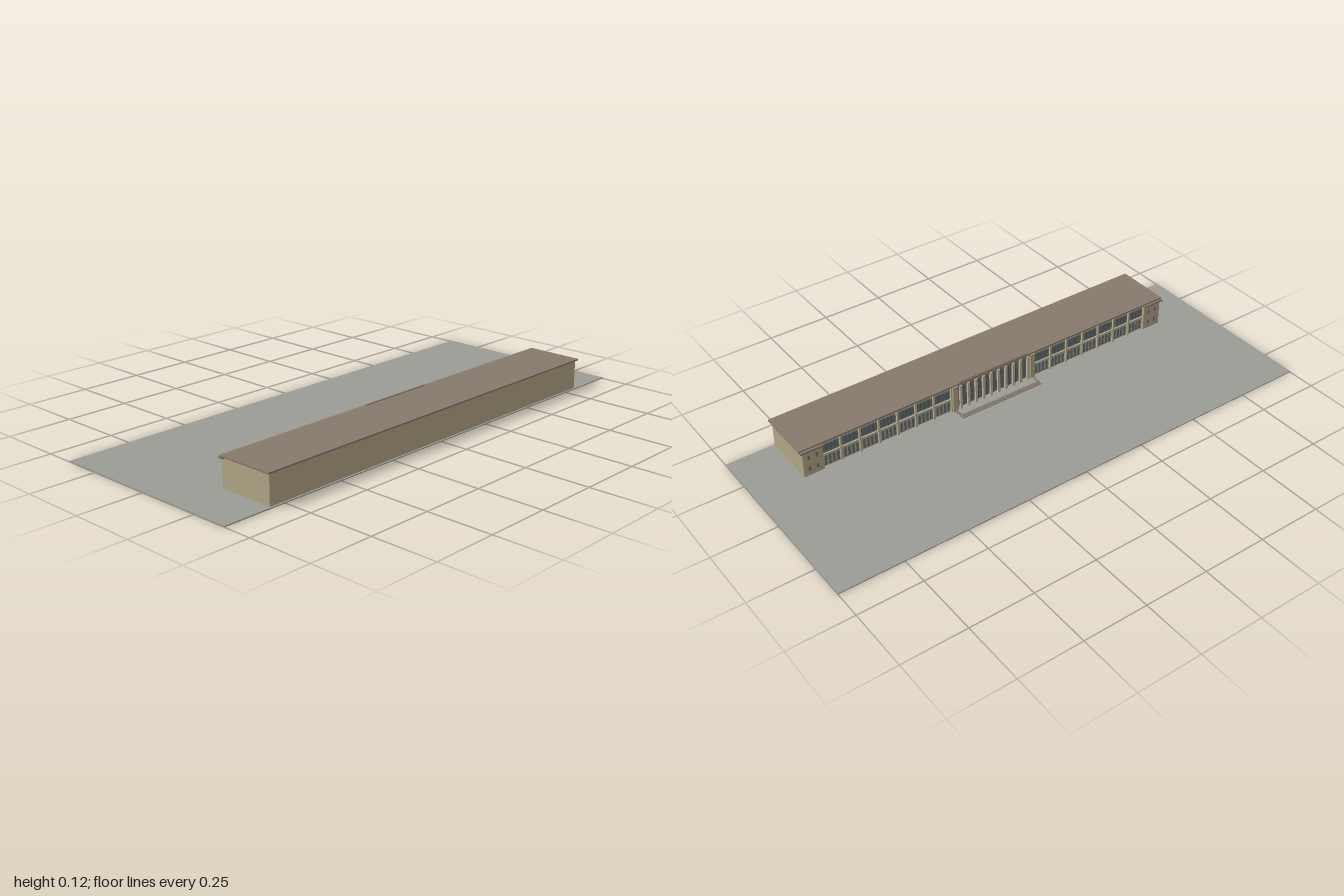
import * as THREE from 'three';

const flat = (name, color) => Object.assign(new THREE.MeshStandardMaterial({ color }), { name });

export function createModel() {
  const wall = flat('tan wall', 0xb0a484);
  const roof = flat('brown roof', 0x857a6c);
  const paving = flat('grey paving', 0x9c9c96);
  const glass = flat('blue grey glass', 0x68747c);
  const frame = flat('dark frame', 0x4c4a46);
  const stone = flat('pale stone', 0xbcb193);

  const model = new THREE.Group();
  model.name = 'longBuilding';
  // Box given by its lower and upper limits on each axis
  const box = (name, mat, x0, x1, y0, y1, z0, z1, parent = model) => {
    const mesh = new THREE.Mesh(new THREE.BoxGeometry(x1 - x0, y1 - y0, z1 - z0), mat);
    mesh.position.set((x0 + x1) / 2, (y0 + y1) / 2, (z0 + z1) / 2);
    mesh.name = name;
    parent.add(mesh);
    return mesh;
  };

  // Ground, main block and roof
  box('ground', paving, -1, 1, 0, 0.004, -0.39, 0.39);
  box('mainBlock', wall, -0.81, 0.81, 0.004, 0.115, 0.176, 0.383);
  box('roofSlab', roof, -0.82, 0.82, 0.115, 0.121, 0.167, 0.39);
  box('porticoParapet', roof, -0.155, 0.155, 0.12, 0.124, 0.17, 0.177);

  // Two wings, mirrored by turning the sign of x
  for (const s of [-1, 1]) {
    const wing = new THREE.Group();
    wing.name = s > 0 ? 'leftWing' : 'rightWing';
    model.add(wing);
    const part = (name, mat, a, b, y0, y1, z0, z1) =>
      box(name, mat, Math.min(s * a, s * b), Math.max(s * a, s * b), y0, y1, z0, z1, wing);

    // End pavilion with its cap and small windows
    part('endPavilion', wall, 0.73, 0.81, 0.004, 0.108, 0.165, 0.177);
    part('pavilionCap', roof, 0.727, 0.819, 0.108, 0.115, 0.158, 0.177);
    for (const y of [0.024, 0.072])
      for (const x of [0.75, 0.782])
        part('pavilionWindow', glass, x, x + 0.009, y, y + 0.018, 0.164, 0.166);

    // Bays of windows between pilasters
    const first = 0.185, bays = 7, width = (0.73 - first) / bays;
    for (let i = 0; i < bays; i++) {
      const x = first + i * width;
      part('pilaster', stone, x, x + 0.007, 0.004, 0.115, 0.169, 0.177);
      part('upperGlass', glass, x + 0.01, x + width - 0.003, 0.066, 0.102, 0.174, 0.177);
      for (let j = 1; j < 4; j++) {
        const m = x + 0.01 + j * (width - 0.013) / 4;
        part('upperMullion', frame, m - 0.0008, m + 0.0008, 0.066, 0.102, 0.1725, 0.175);
      }
      part('upperTransom', frame, x + 0.01, x + width - 0.003, 0.09, 0.0915, 0.1725, 0.175);
      for (let j = 0; j < 4; j++) {
        const a = x + 0.011 + j * 0.0165;
        part('lowerWindow', glass, a, a + 0.01, 0.014, 0.05, 0.174, 0.177);
        part('lowerSill', frame, a, a + 0.01, 0.012, 0.014, 0.172, 0.177);
        part('lowerTransom', frame, a, a + 0.01, 0.038, 0.0395, 0.1725, 0.175);
      }
    }
    part('floorBand', stone, first, 0.73, 0.056, 0.062, 0.171, 0.177);
    part('porticoPier', wall, 0.165, 0.187, 0.004, 0.115, 0.162, 0.177);
    part('stepCheek', roof, 0.172, 0.18, 0.004, 0.01, 0.13, 0.162);
  }

  // Portico: glazed back wall, lintel and a row of square columns
  box('porticoGlass', glass, -0.165, 0.165, 0.01, 0.106, 0.174, 0.177);
  box('porticoLintel', roof, -0.165, 0.165, 0.107, 0.115, 0.165, 0.177);
  for (const y of [0.034, 0.06, 0.085])
    box('porticoTransom', frame, -0.165, 0.165, y, y + 0.002, 0.1725, 0.175);
  for (let i = 0; i < 10; i++) {
    const x = -0.153 + i * 0.034;
    box('column', stone, x - 0.005, x + 0.005, 0.01, 0.113, 0.159, 0.168);
    if (i < 9) box('doorFrame', frame, x + 0.016, x + 0.018, 0.01, 0.106, 0.172, 0.175);
  }

  // Landing and front steps
  box('landing', paving, -0.172, 0.172, 0.004, 0.009, 0.13, 0.177);
  box('upperStep', roof, -0.18, 0.18, 0.004, 0.008, 0.121, 0.13);
  box('lowerStep', roof, -0.18, 0.18, 0.004, 0.0065, 0.112, 0.121);

  return model;
}
